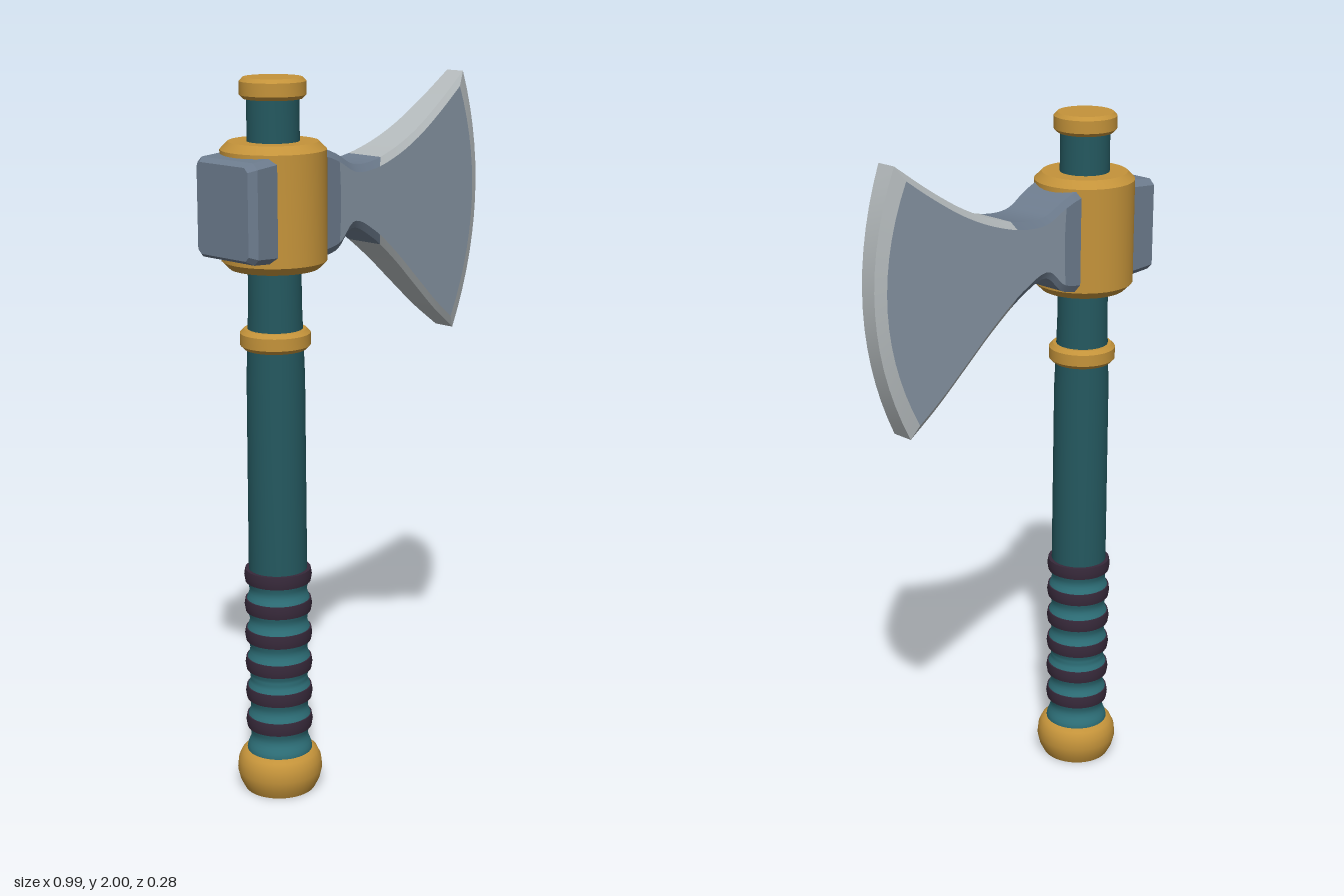
import * as THREE from 'three';
import { toCreasedNormals } from 'three/addons/utils/BufferGeometryUtils.js';

const mat = (name, color, side = THREE.FrontSide) => {
  const m = new THREE.MeshStandardMaterial({ color, side });
  m.name = name;
  return m;
};

const AXIS = -0.31; // x of the haft

export function createModel() {
  const gold = mat('gold', 0xc4933a);
  const teal = mat('haftTeal', 0x24585f);
  const gripTeal = mat('gripTeal', 0x2e7079);
  const wrap = mat('darkWrap', 0x37293a);
  const darkSteel = mat('darkSteel', 0x6d7c8e);
  const steel = mat('bladeSteel', 0x8694a3);
  const silver = mat('edgeSilver', 0xb4babc);

  const model = new THREE.Group();
  model.name = 'axe';
  const add = (name, geometry, material, parent = model) => {
    const mesh = new THREE.Mesh(geometry, material);
    mesh.name = name;
    parent.add(mesh);
    return mesh;
  };

  // Turned parts around the haft axis: profile of [radius, y] from bottom to top
  const turned = (name, profile, material, crease = 0.5) => {
    const g = new THREE.LatheGeometry(profile.map(([r, y]) => new THREE.Vector2(r, y)), 40);
    add(name, toCreasedNormals(g, crease), material).position.x = AXIS;
  };
  // Solid ring with chamfered rims
  const band = (name, r, y0, y1, c, material) =>
    turned(name, [[0, y0], [r - c, y0], [r, y0 + c], [r, y1 - c], [r - c, y1], [0, y1]], material);

  turned('haft', [[0.081, 0.64], [0.079, 1.2], [0.072, 1.4], [0.069, 1.96]], teal);
  turned('pommel', [[0, 0], [0.1, 0], [0.113, 0.025], [0.12, 0.055], [0.117, 0.085], [0.107, 0.107], [0.095, 0.115], [0, 0.115]], gold, 0.7);
  band('haftRing', 0.095, 1.28, 1.335, 0.011, gold);
  band('topCap', 0.088, 1.945, 2, 0.01, gold);
  band('collar', 0.141, 1.5, 1.835, 0.021, gold);

  // Grip swelling at every wrap
  const first = 0.203, pitch = 0.087;
  const grip = [];
  for (let i = 0; i <= 60; i++) {
    const y = 0.1 + (0.652 - 0.1) * i / 60;
    grip.push([0.086 + 0.006 * Math.cos((y - first) / pitch * Math.PI * 2), y]);
  }
  turned('grip', grip, gripTeal, 1);
  for (let i = 0; i < 6; i++) {
    const y = first + i * pitch;
    turned('gripWrap', [[0.08, y - 0.018], [0.091, y - 0.018], [0.094, y], [0.091, y + 0.018], [0.08, y + 0.018]], wrap);
  }

  // Geometry from a list of quads, corners counter-clockwise
  const fromQuads = (quads, crease) => {
    const p = [];
    for (const [a, b, c, d] of quads) for (const v of [a, b, c, a, c, d]) p.push(...v);
    const g = new THREE.BufferGeometry();
    g.setAttribute('position', new THREE.Float32BufferAttribute(p, 3));
    return toCreasedNormals(g, crease);
  };

  // Hammer poll behind the collar: chamfered rectangular sections along x
  const section = (x, hy, hz, c) => [
    [hy - c, hz], [hy, hz - c], [hy, c - hz], [hy - c, -hz],
    [c - hy, -hz], [-hy, c - hz], [-hy, hz - c], [c - hy, hz],
  ].map(([y, z]) => [x, 1.67 + y, z]);
  const rings = [section(-0.495, 0.12, 0.095, 0.012), section(-0.476, 0.131, 0.112, 0.016), section(-0.3, 0.146, 0.1, 0.018)];
  const pollQuads = [];
  for (let r = 0; r < 2; r++) {
    for (let i = 0; i < 8; i++) {
      const j = (i + 1) % 8;
      pollQuads.push([rings[r][i], rings[r + 1][i], rings[r + 1][j], rings[r][j]]);
    }
  }
  const end = rings[0];
  for (const i of [0, 2, 4]) pollQuads.push([end[0], end[i + 1], end[i + 2], end[(i + 3) % 8]]);
  add('hammerPoll', fromQuads(pollQuads, 0.1), darkSteel);

  // Blade: surface between an upper and a lower curve, bowed at the cutting edge
  const curve = pts => new THREE.CatmullRomCurve3(pts.map(([x, y]) => new THREE.Vector3(x, y, 0)));
  const upper = curve([[-0.25, 1.815], [-0.2, 1.81], [-0.145, 1.79], [-0.08, 1.758], [0, 1.757], [0.1, 1.782], [0.2, 1.825], [0.31, 1.892], [0.42, 1.97]]);
  const lower = curve([[-0.25, 1.52], [-0.2, 1.525], [-0.145, 1.537], [-0.085, 1.585], [0, 1.55], [0.1, 1.475], [0.2, 1.385], [0.295, 1.3], [0.385, 1.23]]);
  const halfThickness = x => 0.074 - 0.08 * x;
  const BEVEL = 0.02;
  const blade = (u, v, inset, side) => {
    const s = inset ? u * 0.968 : u;
    const a = lower.getPoint(s), b = upper.getPoint(s), k = inset ? BEVEL : 0;
    const x = a.x + (b.x - a.x) * v + 0.088 * s * s * 4 * v * (1 - v);
    const y = a.y + k + (b.y - a.y - 2 * k) * v;
    return [x, y, side * (halfThickness(x) - (inset ? 0 : 0.011))];
  };

  const NU = 40, NV = 14;
  const cheeks = [], faces = [];
  for (const side of [1, -1]) {
    for (let i = 0; i < NU; i++) {
      for (let j = 0; j < NV; j++) {
        const q = [[i, j], [i + 1, j], [i + 1, j + 1], [i, j + 1]].map(([m, n]) => blade(m / NU, n / NV, true, side));
        const list = q[1][0] < -0.14 ? cheeks : faces;
        list.push(side > 0 ? q : q.reverse());
      }
    }
  }

  // Rim: bevel, flat edge and bevel along the open outline of the blade
  const outline = [];
  for (let i = 0; i <= NU; i++) outline.push([i / NU, 0]);
  for (let j = 1; j <= NV; j++) outline.push([1, j / NV]);
  for (let i = NU - 1; i >= 0; i--) outline.push([i / NU, 1]);
  const rows = [[true, 1], [false, 1], [false, -1], [true, -1]];
  const neckRim = [], edgeRim = [];
  for (let i = 0; i + 1 < outline.length; i++) {
    const p = rows.map(([inset, side]) => blade(...outline[i], inset, side));
    const n = rows.map(([inset, side]) => blade(...outline[i + 1], inset, side));
    for (let r = 0; r < 3; r++) {
      const list = (p[1][0] + n[1][0]) / 2 > 0.04 ? edgeRim : neckRim;
      list.push([p[r], p[r + 1], n[r + 1], n[r]]);
    }
  }

  const head = new THREE.Group();
  head.name = 'blade';
  model.add(head);
  add('bladeCheeks', fromQuads(cheeks, 0.4), darkSteel, head);
  add('bladeFaces', fromQuads(faces, 0.4), steel, head);
  add('neckRim', fromQuads(neckRim, 0.4), darkSteel, head);
  add('cuttingRim', fromQuads(edgeRim, 0.4), silver, head);

  return model;
}
